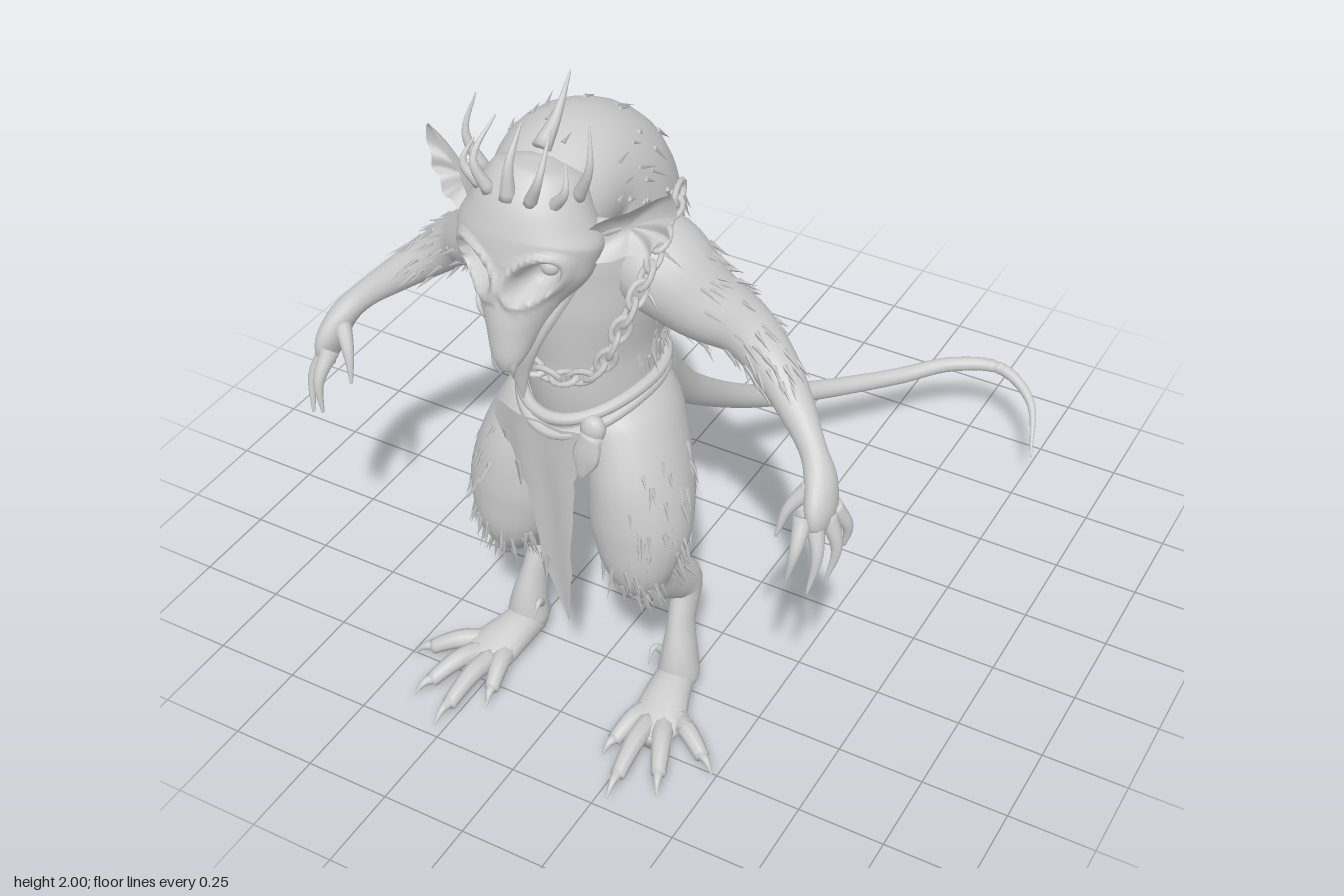
import * as THREE from 'three';
import { mergeGeometries, mergeVertices } from 'three/addons/utils/BufferGeometryUtils.js';

const V = (x, y, z) => new THREE.Vector3(x, y, z);
const X = V(1, 0, 0), Z = V(0, 0, 1);

// Sampler for a limb: stations are [x, y, z, half width along ref, half width across]
function limb(stations, ref = X) {
  const path = new THREE.CatmullRomCurve3(stations.map(s => V(s[0], s[1], s[2])));
  const size = new THREE.CatmullRomCurve3(stations.map(s => V(s[3], s[4], 0)));
  return (t, ang) => {
    const c = path.getPoint(t), r = size.getPoint(t), tan = path.getTangent(t);
    const s = ref.clone().addScaledVector(tan, -ref.dot(tan)).normalize();
    const n = tan.clone().cross(s);
    const out = s.clone().multiplyScalar(Math.cos(ang) / Math.max(r.x, 0.002))
      .addScaledVector(n, Math.sin(ang) / Math.max(r.y, 0.002)).normalize();
    const pos = c.clone().addScaledVector(s, r.x * Math.cos(ang)).addScaledVector(n, r.y * Math.sin(ang));
    return { c, pos, out, tan };
  };
}

// Closed smooth skin over a limb sampler
function skin(sample, rows = 24, sides = 20, rule) {
  const pos = [], idx = [];
  for (let j = 0; j <= rows; j++) for (let i = 0; i < sides; i++) {
    const p = sample(j / rows, (i / sides) * Math.PI * 2).pos;
    if (rule) rule(p);
    pos.push(p.x, p.y, p.z);
  }
  for (let j = 0; j < rows; j++) for (let i = 0; i < sides; i++) {
    const a = j * sides + i, b = j * sides + (i + 1) % sides;
    idx.push(a, b, a + sides, b, b + sides, a + sides);
  }
  const first = sample(0, 0).c, last = sample(1, 0).c, n = pos.length / 3;
  pos.push(first.x, first.y, first.z, last.x, last.y, last.z);
  for (let i = 0; i < sides; i++) {
    const k = (i + 1) % sides;
    idx.push(n, k, i, n + 1, rows * sides + i, rows * sides + k);
  }
  const g = new THREE.BufferGeometry();
  g.setAttribute('position', new THREE.Float32BufferAttribute(pos, 3));
  g.setIndex(idx);
  g.computeVertexNormals();
  return g;
}

export function createModel() {
  const model = new THREE.Group();
  const grey = new THREE.MeshStandardMaterial({ color: 0xcccccc });
  grey.name = 'grey';
  grey.side = THREE.DoubleSide;
  let seed = 7;
  const rnd = () => (seed = (seed * 16807) % 2147483647) / 2147483647;

  const add = (name, geo, x = 0, y = 0, z = 0) => {
    const m = new THREE.Mesh(geo, grey);
    m.name = name;
    m.position.set(x, y, z);
    model.add(m);
    return m;
  };
  // Tapering horn, finger or claw through points, radius r0 to r1
  const spike = (pts, r0, r1 = 0.002, sides = 8) => skin(limb(pts.map((p, i) => {
    const r = r0 + (r1 - r0) * i / (pts.length - 1);
    return [...p, r, r];
  }), V(0.8, 0.1, 0.6).normalize()), 10, sides);

  // Tufts scattered over a limb, lying along its flow
  const fur = (name, sample, count, [t0, t1], [a0, a1], len, flow, lift = 0.3) => {
    const blades = [];
    for (let i = 0; i < count; i++) {
      const s = sample(t0 + (t1 - t0) * rnd(), a0 + (a1 - a0) * rnd());
      const d = s.tan.clone().multiplyScalar(flow).addScaledVector(s.out, lift * (0.4 + rnd()));
      d.add(V(rnd() - 0.5, rnd() - 0.7, rnd() - 0.5).multiplyScalar(0.35)).normalize();
      const l = len * (0.6 + 0.8 * rnd());
      const g = new THREE.ConeGeometry(0.0075, l, 4);
      g.translate(0, l * 0.35, 0);
      g.applyQuaternion(new THREE.Quaternion().setFromUnitVectors(V(0, 1, 0), d));
      g.translate(s.pos.x, s.pos.y, s.pos.z);
      blades.push(g);
    }
    add(name, mergeGeometries(blades));
  };

  // Hunched torso running forward into the head
  const torso = limb([[0, 0.77, 0.5, 0.06, 0.07], [0, 0.9, 0.49, 0.16, 0.165], [0, 1.08, 0.51, 0.172, 0.195],
    [0, 1.2, 0.5, 0.172, 0.215], [0, 1.35, 0.49, 0.2, 0.235], [0, 1.5, 0.48, 0.215, 0.24],
    [0, 1.64, 0.51, 0.205, 0.215], [0, 1.72, 0.61, 0.18, 0.165], [0.01, 1.68, 0.78, 0.145, 0.14]]);
  add('torso', skin(torso, 44, 32));
  fur('backFur', torso, 150, [0.34, 0.92], [-0.15, Math.PI + 0.15], 0.055, -1, 0.25);
  fur('waistFur', torso, 45, [0.28, 0.38], [-0.3, Math.PI + 0.3], 0.055, -1);

  // Tail
  add('tail', skin(limb([[0, 0.98, 0.42, 0.12, 0.12], [0, 0.89, 0.24, 0.075, 0.085], [0, 0.77, 0.12, 0.054, 0.06],
    [0, 0.65, 0, 0.045, 0.048], [0.02, 0.48, -0.22, 0.039, 0.039], [0.07, 0.375, -0.4, 0.034, 0.034],
    [0.17, 0.305, -0.6, 0.03, 0.03], [0.32, 0.275, -0.8, 0.026, 0.026], [0.45, 0.29, -0.92, 0.023, 0.023],
    [0.6, 0.29, -0.975, 0.02, 0.02], [0.72, 0.235, -0.93, 0.014, 0.014], [0.785, 0.13, -0.8, 0.003, 0.003]]), 70, 16));

  for (const k of [1, -1]) {
    const side = k > 0 ? 'left' : 'right';
    const flip = list => list.map(([x, ...rest]) => [k * x, ...rest]);

    // Arm
    const arm = limb(flip([[0.1, 1.5, 0.5, 0.1, 0.1], [0.2, 1.465, 0.515, 0.135, 0.125], [0.31, 1.385, 0.505, 0.11, 0.1],
      [0.42, 1.315, 0.475, 0.082, 0.072], [0.5, 1.25, 0.485, 0.068, 0.062], [0.6, 1.175, 0.54, 0.05, 0.048],
      [0.68, 1.11, 0.6, 0.035, 0.036], [0.72, 1.06, 0.635, 0.05, 0.038], [0.74, 1.0, 0.67, 0.062, 0.036],
      [0.746, 0.955, 0.685, 0.05, 0.024], [0.748, 0.94, 0.69, 0.02, 0.012]]), Z);
    add(side + 'Arm', skin(arm, 44, 20));
    fur(side + 'ArmFur', arm, 75, [0.08, 0.48], [0, Math.PI * 2], 0.055, 1);

    // Fingers and thumb with claws
    const fingers = [
      [[0.755, 0.99, 0.635], [0.79, 0.92, 0.615], [0.785, 0.86, 0.62]],
      [[0.755, 0.98, 0.665], [0.79, 0.9, 0.675], [0.775, 0.8, 0.7]],
      [[0.735, 0.98, 0.695], [0.765, 0.9, 0.735], [0.755, 0.8, 0.765]],
      [[0.715, 0.99, 0.715], [0.72, 0.92, 0.77], [0.705, 0.83, 0.785]],
      [[0.71, 1.05, 0.66], [0.665, 0.99, 0.7], [0.645, 0.91, 0.725]]];
    fingers.forEach(f => add(side + 'Finger', spike(flip(f), 0.027, 0.004, 10)));

    // Leg: thigh widest low down, then a backward hock
    const leg = limb(flip([[0.07, 1.07, 0.5, 0.07, 0.14], [0.115, 0.96, 0.51, 0.12, 0.175], [0.168, 0.81, 0.565, 0.133, 0.17],
      [0.19, 0.68, 0.605, 0.138, 0.14], [0.2, 0.58, 0.62, 0.108, 0.11], [0.212, 0.5, 0.585, 0.062, 0.085],
      [0.225, 0.42, 0.505, 0.046, 0.064], [0.23, 0.345, 0.435, 0.043, 0.058], [0.238, 0.25, 0.475, 0.036, 0.05],
      [0.248, 0.15, 0.505, 0.05, 0.058], [0.25, 0.08, 0.515, 0.06, 0.06], [0.25, 0.04, 0.515, 0.045, 0.045]]));
    add(side + 'Leg', skin(leg, 52, 24));
    const mid = k > 0 ? 0 : Math.PI;
    fur(side + 'ThighFur', leg, 50, [0.14, 0.37], [mid - 1.5, mid + 1.5], 0.055, 1);
    fur(side + 'KneeFur', leg, 60, [0.35, 0.45], [0, Math.PI * 2], 0.08, 1);

    // Foot, toes and claws
    add(side + 'Foot', skin(limb(flip([[0.24, 0.045, 0.44, 0.02, 0.025], [0.245, 0.06, 0.5, 0.05, 0.058],
      [0.26, 0.06, 0.6, 0.066, 0.052], [0.28, 0.047, 0.69, 0.078, 0.04], [0.295, 0.035, 0.76, 0.035, 0.022]])), 16, 16));
    const toes = [[0.235, 0.66, 0.19, 0.84], [0.26, 0.7, 0.28, 0.97], [0.3, 0.69, 0.395, 0.9], [0.31, 0.65, 0.49, 0.76]];
    toes.forEach(([x0, z0, x1, z1]) => {
      const at = (f, y) => [k * (x0 + (x1 - x0) * f), y, z0 + (z1 - z0) * f];
      add(side + 'Toe', spike([at(0, 0.05), at(0.3, 0.06), at(0.55, 0.048), at(0.75, 0.03)], 0.032, 0.021));
      add(side + 'ToeClaw', spike([at(0.68, 0.035), at(0.85, 0.035), at(1, 0.008)], 0.019));
    });
    add(side + 'DewClaw', spike(flip([[0.205, 0.14, 0.52], [0.19, 0.17, 0.55], [0.19, 0.13, 0.58]]), 0.015));

    // Ragged cupped ear, rings shrinking to a sunken middle
    const rim = new THREE.CatmullRomCurve3([[0.13, 1.67], [0.18, 1.74], [0.25, 1.775], [0.335, 1.825], [0.35, 1.77],
      [0.33, 1.735], [0.335, 1.7], [0.3, 1.69], [0.29, 1.645], [0.25, 1.655], [0.21, 1.635], [0.15, 1.63]]
      .map(([x, y]) => V(x, y, 0)), true, 'catmullrom', 0.4).getPoints(36).slice(0, 36);
    const rings = [1, 0.8, 0.6, 0.4, 0.2, 0].map(f => rim.map(({ x, y }) => V(0.015 + k * (0.22 + (x - 0.22) * f),
      1.7 + (y - 1.7) * f, 0.83 - 0.5 * (0.09 + (x - 0.22) * f) - 0.055 * (1 - f * f))));
    const tri = [];
    for (let j = 0; j < 5; j++) rim.forEach((_, i) => {
      const n = (i + 1) % rim.length, [a, b, c, d] = [rings[j][i], rings[j][n], rings[j + 1][i], rings[j + 1][n]];
      tri.push(...(k > 0 ? [a, c, b, b, c, d] : [a, b, c, b, d, c]));
    });
    const ear = mergeVertices(new THREE.BufferGeometry().setFromPoints(tri));
    ear.computeVertexNormals();
    add(side + 'Ear', ear);
    add(side + 'EarRoot', spike(flip([[0.1, 1.68, 0.78], [0.17, 1.69, 0.75], [0.23, 1.7, 0.72]]), 0.05, 0.01));

    // Eye, skull crown spikes and snout tooth
    add(side + 'Eye', new THREE.SphereGeometry(0.026, 16, 12), 0.02 + k * 0.078, 1.622, 0.852);
    [[0.055, 1.8, 0.88, 0.075, 1.965, 0.81], [0.1, 1.79, 0.85, 0.125, 1.9, 0.83], [0.13, 1.79, 0.79, 0.155, 1.98, 0.77]]
      .forEach(([x, y, z, tx, ty, tz]) => add(side + 'CrownSpike', spike(
        [[0.01 + k * x, y, z], [0.01 + k * (tx + 0.015), (y + ty) / 2, z + 0.01], [0.01 + k * tx, ty, tz]], 0.018)));
    add(side + 'UpperTooth', spike([[0.03 + k * 0.025, 1.42, 0.96], [0.03 + k * 0.025, 1.38, 0.97], [0.03 + k * 0.018, 1.34, 0.96]], 0.016));
  }

  // Skull mask with flared cheeks, sunken slanted eye sockets and raised brows
  const skull = limb([[0.015, 1.845, 0.74, 0.03, 0.03], [0.015, 1.82, 0.75, 0.11, 0.1], [0.015, 1.74, 0.785, 0.155, 0.135],
    [0.015, 1.67, 0.805, 0.188, 0.142], [0.02, 1.6, 0.835, 0.165, 0.13], [0.022, 1.54, 0.87, 0.112, 0.108],
    [0.028, 1.46, 0.92, 0.066, 0.074], [0.032, 1.4, 0.955, 0.042, 0.038], [0.033, 1.365, 0.965, 0.02, 0.015]]);
  add('skullMask', skin(skull, 60, 72, p => {
    if (p.z < 0.8) return;
    for (const k of [1, -1]) {
      const dx = p.x - 0.02 - k * 0.08, dy = p.y - 1.622 - k * 0.4 * dx;
      const d = Math.hypot(dx / 0.054, dy / 0.046);
      if (d < 1) p.z -= 0.075 * (1 - d ** 4);
      else if (d < 1.5) p.z += 0.014 * Math.sin((d - 1) * 2 * Math.PI);
    }
  }));
  add('lowerJaw', skin(limb([[0.02, 1.55, 0.81, 0.13, 0.05], [0.024, 1.48, 0.875, 0.1, 0.045],
    [0.028, 1.4, 0.905, 0.06, 0.03], [0.03, 1.32, 0.905, 0.028, 0.014], [0.032, 1.235, 0.9, 0.003, 0.003]]), 16, 16));
  add('centreSpike', spike([[0.01, 1.8, 0.89], [0.012, 1.89, 0.88], [0.012, 1.97, 0.82]], 0.022));
  add('rearSpike', spike([[0.012, 1.86, 0.74], [0.012, 1.91, 0.67], [0.012, 2, 0.6]], 0.025));
  add('browStone', new THREE.OctahedronGeometry(0.022), 0.025, 1.72, 0.915);

  // Chain of alternating links
  const chain = new THREE.CatmullRomCurve3([V(-0.21, 1.63, 0.44), V(-0.235, 1.57, 0.6), V(-0.2, 1.42, 0.72),
    V(-0.11, 1.26, 0.755), V(0.025, 1.21, 0.765), V(0.15, 1.26, 0.755), V(0.22, 1.42, 0.72), V(0.245, 1.57, 0.6),
    V(0.215, 1.63, 0.44)]);
  for (let i = 0; i <= 28; i++) {
    const link = add('chainLink', new THREE.TorusGeometry(0.023, 0.008, 6, 12));
    link.geometry.scale(1.5, 0.95, 1);
    link.geometry.rotateX((i % 2) * Math.PI / 2 + 0.3);
    link.position.copy(chain.getPointAt(i / 28));
    link.quaternion.setFromUnitVectors(X, chain.getTangentAt(i / 28));
  }

  // Rope belt dipping at the front, with a knot
  for (const [y, dip] of [[1.105, 0.05], [1.08, 0.075]]) {
    const loop = [];
    for (let i = 0; i < 24; i++) {
      const a = i / 24 * Math.PI * 2, f = Math.max(0, Math.sin(a));
      loop.push(V(0.183 * Math.cos(a), y - dip * f * f, 0.51 + (0.203 + 0.03 * f) * Math.sin(a)));
    }
    add('ropeBelt', new THREE.TubeGeometry(new THREE.CatmullRomCurve3(loop, true), 72, 0.017, 8, true));
  }
  add('beltKnot', new THREE.SphereGeometry(0.04, 12, 10), 0.115, 1.04, 0.715).scale.set(0.9, 1, 0.7);
  add('knotTail', skin(limb([[0.12, 1.03, 0.73, 0.03, 0.02], [0.11, 0.97, 0.745, 0.04, 0.012], [0.095, 0.9, 0.75, 0.01, 0.004]]), 10, 10));

  // Loincloth rows are [y, left edge, right edge], draped over a gentle curve
  const drape = (x, y) => 0.661 + 0.085 * y - 0.9 * x * x + 0.005 * Math.sin(x * 50);
  const rows = [[1.03, -0.185, 0.14], [0.97, -0.19, 0.11], [0.9, -0.165, 0.08], [0.85, -0.145, 0.06], [0.81, -0.12, 0.06],
    [0.78, -0.09, 0.055], [0.68, -0.08, 0.045], [0.58, -0.07, 0.03], [0.5, -0.07, 0.03], [0.45, -0.05, 0.02], [0.3, -0.002, 0.002]];
  const cloth = new THREE.PlaneGeometry(1, 1, 10, rows.length - 1), p = cloth.attributes.position;
  for (let i = 0; i < p.count; i++) {
    const [y, l, r] = rows[Math.floor(i / 11)], x = l + (r - l) * (i % 11) / 10;
    p.setXYZ(i, x, y, drape(x, y));
  }
  cloth.computeVertexNormals();
  add('loincloth', cloth);
  for (const [x, y, l] of [[-0.15, 0.9, 0.1], [-0.11, 0.82, 0.09], [-0.06, 0.5, 0.1]])
    add('clothTatter', new THREE.ConeGeometry(0.016, l, 4).rotateX(Math.PI).scale(1, 1, 0.2), x, y - l / 2 + 0.03, drape(x, y));

  return model;
}
